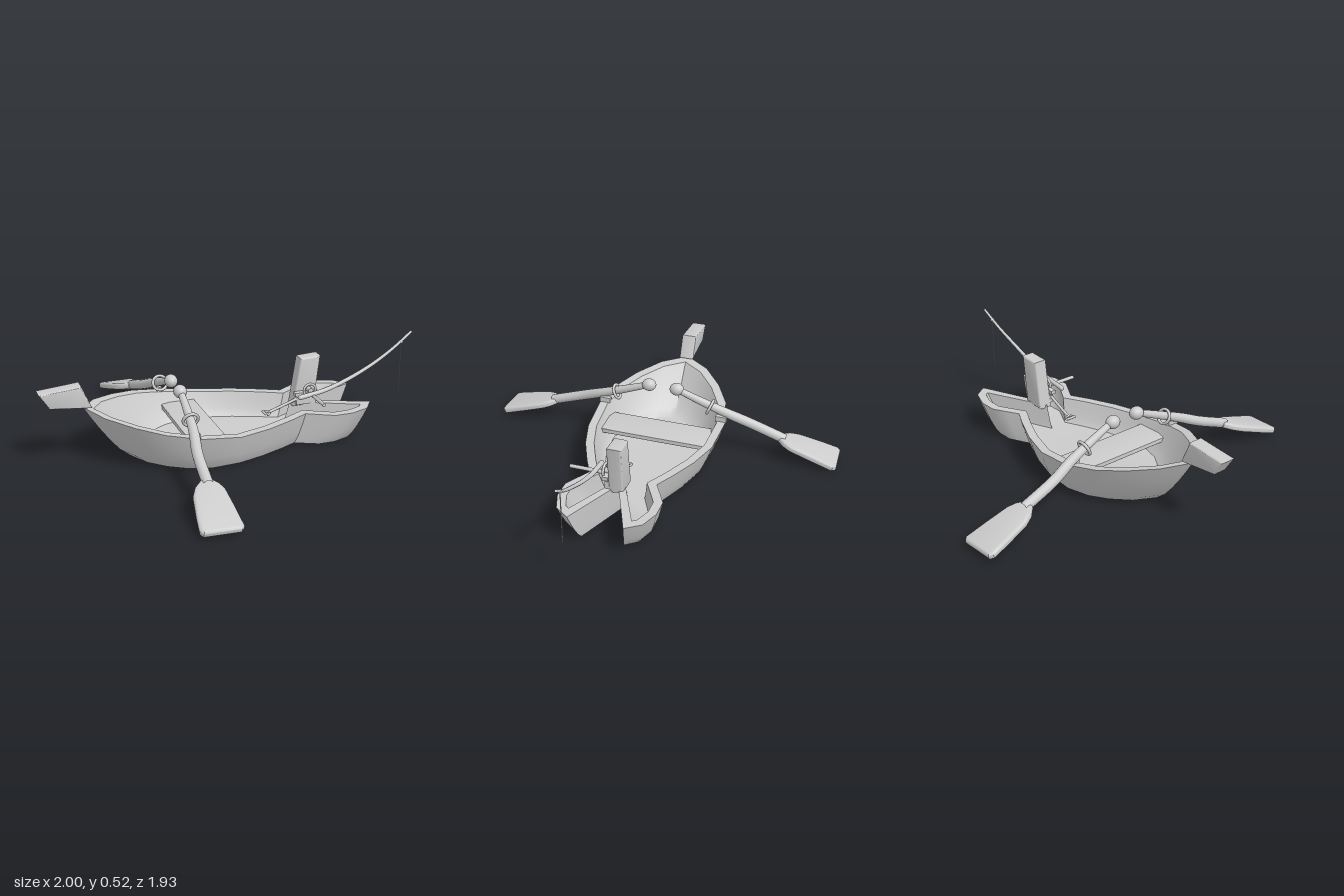
import * as THREE from 'three';
import { toCreasedNormals } from 'three/addons/utils/BufferGeometryUtils.js';

const V = (x, y, z) => new THREE.Vector3(x, y, z);
const material = new THREE.MeshStandardMaterial({ color: 0xcccccc });

function part(parent, name, geometry, x = 0, y = 0, z = 0) {
  const mesh = new THREE.Mesh(geometry, material);
  mesh.name = name;
  mesh.position.set(x, y, z);
  parent.add(mesh);
  return mesh;
}

// Tube along a smooth path whose radius follows radiusAt(t)
function taperedTube(points, radiusAt, segments = 24, sides = 12) {
  const curve = new THREE.CatmullRomCurve3(points);
  const g = new THREE.TubeGeometry(curve, segments, 1, sides);
  const pos = g.attributes.position, v = V(0, 0, 0);
  for (let i = 0; i < pos.count; i++) {
    const t = Math.floor(i / (sides + 1)) / segments;
    const c = curve.getPointAt(t);
    v.fromBufferAttribute(pos, i).sub(c).multiplyScalar(radiusAt(t)).add(c);
    pos.setXYZ(i, v.x, v.y, v.z);
  }
  return g;
}

// Straight bar between two points
function bar(a, b, r) {
  return new THREE.TubeGeometry(new THREE.LineCurve3(a, b), 1, r, 10);
}

// Bevelled slab: a flat profile thickened symmetrically
function slab(profile, thickness, bevel) {
  const shape = new THREE.Shape(profile.map(p => new THREE.Vector2(...p)));
  const depth = thickness - 2 * bevel;
  const g = new THREE.ExtrudeGeometry(shape, {
    depth, bevelThickness: bevel, bevelSize: bevel, bevelOffset: -bevel, bevelSegments: 3, curveSegments: 8,
  });
  g.translate(0, 0, -depth / 2);
  return toCreasedNormals(g, 0.6);
}

// Half of the fish-shaped gunwale outline (x, z), from bow to tail notch
const HALF = [[-0.78, 0], [-0.75, 0.05], [-0.7, 0.135], [-0.58, 0.24], [-0.45, 0.315], [-0.28, 0.357],
  [-0.07, 0.345], [0.1, 0.295], [0.25, 0.228], [0.345, 0.178], [0.41, 0.215], [0.48, 0.253], [0.58, 0.253],
  [0.68, 0.217], [0.735, 0.14], [0.41, 0]];
const OUTLINE = [...HALF, ...HALF.slice(1, -1).reverse().map(([x, z]) => [x, -z])];

const rimY = x => 0.175 + 0.125 * Math.pow(Math.max(0, (-0.05 - x) / 0.73), 1.35);

// Mitred inward offset of an outline
function inset(line, d) {
  const n = line.length;
  const normal = (a, b) => {
    const l = Math.hypot(b[0] - a[0], b[1] - a[1]);
    return [(b[1] - a[1]) / l, -(b[0] - a[0]) / l];
  };
  return line.map((p, i) => {
    const m = normal(line[(i + n - 1) % n], p), k = normal(p, line[(i + 1) % n]);
    const sx = m[0] + k[0], sz = m[1] + k[1], l = Math.hypot(sx, sz);
    const r = d * Math.min(1.8, 2 / l);
    return [p[0] + sx / l * r, p[1] + sz / l * r];
  });
}

// Hull shell: rings climb the outside, cross the rim and descend inside
function hullGeometry() {
  const inner = inset(OUTLINE, 0.045);
  const ring = (line, t, floor) => line.map(([x, z]) => {
    const k = Math.pow(t, 0.75);
    const sx = x < 0 ? 0.7 + 0.3 * k : 0.87 + 0.13 * k;
    return V(x * sx, floor + (rimY(x) - floor) * t, z * (0.78 + 0.22 * k));
  });
  const rings = [];
  for (const t of [0, 0.15, 0.35, 0.6, 0.8, 0.95, 1]) rings.push(ring(OUTLINE, t, 0));
  for (const t of [1, 0.8, 0.55, 0.3, 0.12, 0]) rings.push(ring(inner, t, 0.05));
  const out = [], n = OUTLINE.length;
  const tri = (...ps) => ps.forEach(p => out.push(p.x, p.y, p.z));
  for (let j = 0; j < rings.length - 1; j++) {
    for (let i = 0; i < n; i++) {
      const k = (i + 1) % n, a = rings[j], b = rings[j + 1];
      tri(a[i], a[k], b[k]);
      tri(a[i], b[k], b[i]);
    }
  }
  // Flat bottom and inside floor
  const cap = (r, up) => {
    const contour = r.map(p => new THREE.Vector2(p.x, -p.z));
    for (const [a, b, c] of THREE.ShapeUtils.triangulateShape(contour, [])) {
      if (up) tri(r[a], r[b], r[c]); else tri(r[a], r[c], r[b]);
    }
  };
  cap(rings[0], false);
  cap(rings[rings.length - 1], true);
  const g = new THREE.BufferGeometry();
  g.setAttribute('position', new THREE.Float32BufferAttribute(out, 3));
  return toCreasedNormals(g, 0.7);
}

// One oar on the +z side with its rowlock
function makeOar(name) {
  const oar = new THREE.Group();
  oar.name = name;
  part(oar, 'oarShaft', taperedTube(
    [V(-0.3, 0.35, 0.08), V(-0.308, 0.295, 0.22), V(-0.322, 0.24, 0.36), V(-0.345, 0.19, 0.48), V(-0.358, 0.12, 0.67)],
    t => 0.017 + 0.01 * Math.min(1, t * 1.8)));
  const knob = part(oar, 'oarKnob', new THREE.SphereGeometry(0.034, 20, 14), -0.302, 0.35, 0.078);
  knob.scale.z = 1.15;
  const blade = slab([[-0.335, 0], [-0.305, 0.035], [-0.29, 0.08], [-0.285, 0.2], [-0.283, 0.32], [-0.3, 0.338],
    [-0.475, 0.33], [-0.488, 0.31], [-0.475, 0.22], [-0.45, 0.09], [-0.425, 0.04], [-0.385, 0]], 0.036, 0.014);
  part(oar, 'oarBlade', blade, 0, 0.125, 0.64).rotation.x = Math.PI / 2 + 0.3;
  part(oar, 'rowlockRing', new THREE.TorusGeometry(0.038, 0.008, 10, 28), -0.308, 0.272, 0.265).rotation.x = 0.4;
  part(oar, 'rowlockBracket', new THREE.BoxGeometry(0.025, 0.03, 0.06), -0.3, 0.215, 0.33);
  return oar;
}

export function createModel() {
  const boat = new THREE.Group();
  boat.name = 'fishShapedRowingBoat';
  part(boat, 'hull', hullGeometry());

  // Plank seat, trimmed to the hull sides
  const seat = slab([[-0.3, -0.305], [-0.112, -0.295], [-0.112, 0.295], [-0.3, 0.305]], 0.025, 0.003);
  part(boat, 'seat', seat, 0, 0.13, 0).rotation.x = Math.PI / 2;

  // Upright fins at bow and stern
  part(boat, 'bowFin', slab([[-0.95, 0.327], [-0.74, 0.305], [-0.79, 0.425], [-1, 0.406]], 0.08, 0.008));
  part(boat, 'sternPost', slab([[0.335, 0.16], [0.455, 0.16], [0.487, 0.428], [0.375, 0.422]], 0.075, 0.01), 0, 0, -0.004);

  for (const side of [1, -1]) {
    const oar = makeOar(side > 0 ? 'frontOar' : 'backOar');
    oar.scale.z = side;
    boat.add(oar);
  }

  // Tiller with a D-shaped grip
  const tiller = new THREE.Group();
  tiller.name = 'tiller';
  part(tiller, 'tillerArm', taperedTube([V(0.195, 0.15, 0.038), V(0.33, 0.2, 0.045), V(0.42, 0.24, 0.05)], () => 0.008, 8));
  const arc = new THREE.TorusGeometry(0.026, 0.006, 8, 16, Math.PI);
  arc.rotateX(Math.PI / 2).rotateY(Math.PI / 2);
  part(tiller, 'gripArc', arc, 0.172, 0.147, 0.038);
  part(tiller, 'gripBar', bar(V(0.172, 0.147, 0.008), V(0.172, 0.147, 0.068), 0.007));
  part(tiller, 'tillerBracket', new THREE.BoxGeometry(0.13, 0.02, 0.03), 0.4, 0.235, 0.05);
  part(tiller, 'bracketLeg', new THREE.BoxGeometry(0.11, 0.04, 0.03), 0.4, 0.195, 0.04);
  boat.add(tiller);

  // Rod support, reel, rod and hanging line
  const fishing = new THREE.Group();
  fishing.name = 'fishingGear';
  part(fishing, 'rodSupport', new THREE.CylinderGeometry(0.01, 0.01, 0.22, 12), 0.415, 0.24, 0.14).rotation.x = Math.PI / 2;
  part(fishing, 'reelRing', new THREE.TorusGeometry(0.033, 0.007, 10, 28), 0.415, 0.256, 0.065);
  part(fishing, 'reelHub', new THREE.CylinderGeometry(0.014, 0.014, 0.04, 16), 0.415, 0.256, 0.06).rotation.x = Math.PI / 2;
  const path = [V(0.34, 0.24, 0.112), V(0.48, 0.262, 0.11), V(0.6, 0.3, 0.107), V(0.75, 0.365, 0.1),
    V(0.88, 0.435, 0.085), V(0.995, 0.513, 0.07)];
  part(fishing, 'rod', taperedTube(path, t => 0.013 - 0.006 * t, 32));
  for (const [i, r] of [[0, 0.013], [5, 0.007]]) {
    part(fishing, 'rodEnd', new THREE.SphereGeometry(r, 12, 8), path[i].x, path[i].y, path[i].z);
  }
  part(fishing, 'rodGuide', new THREE.SphereGeometry(0.011, 12, 8), 0.935, 0.468, 0.078);
  part(fishing, 'line', bar(V(0.935, 0.47, 0.078), V(0.935, 0.185, 0.078), 0.0025));
  boat.add(fishing);

  return boat;
}
